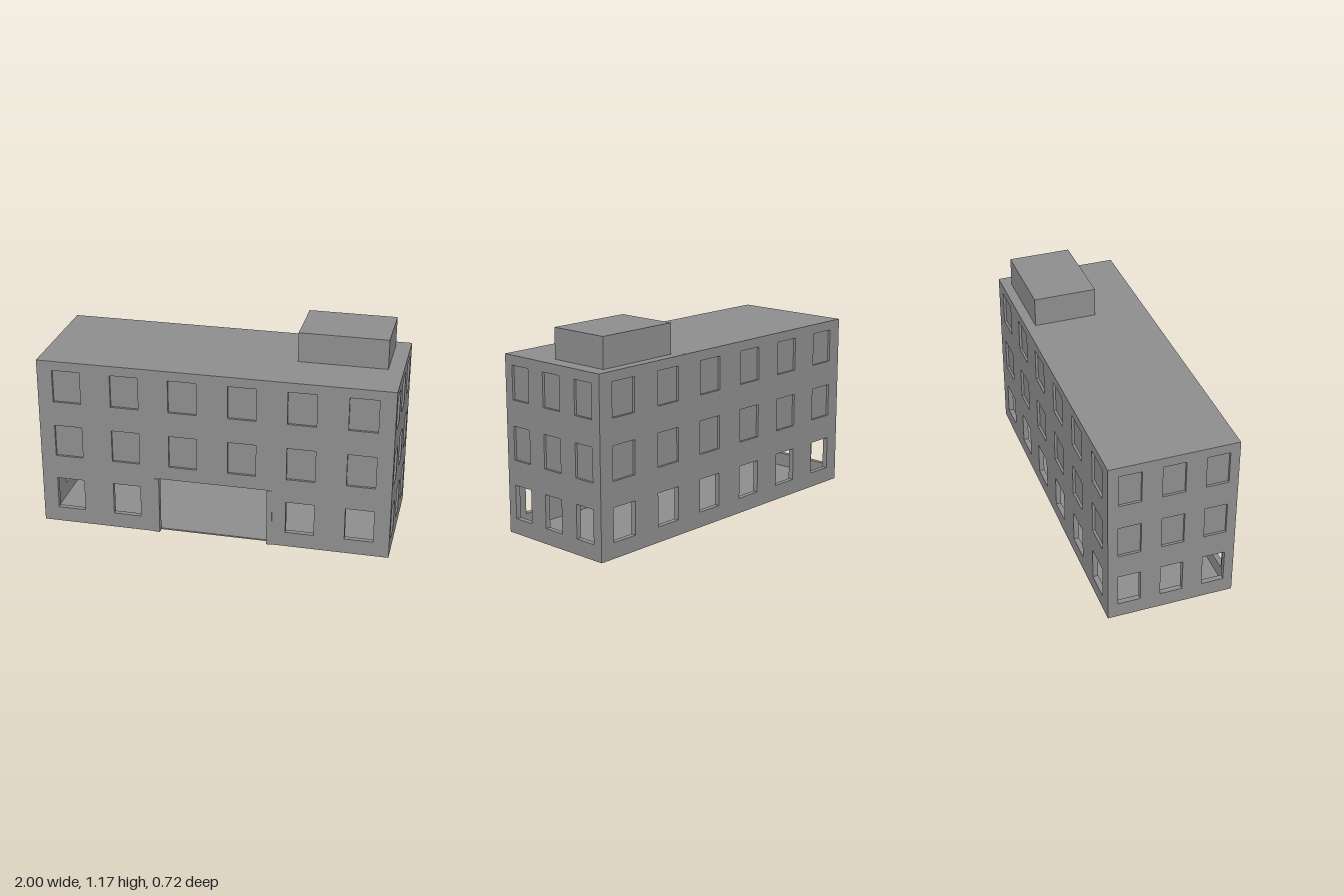
import * as THREE from 'three';

const W = 2, H = 1, ZF = 0.357, ZB = -0.36, T = 0.03, RECESS = 0.014, CEILING = 0.34;
const D = ZF - ZB, ZC = (ZF + ZB) / 2;
const ROWS = [[0.088, 0.278], [0.42, 0.61], [0.755, 0.945]];
const LONG_COLS = [-0.833, -0.5, -0.17, 0.165, 0.497, 0.83];
const SIDE_COLS = [-0.24, 0, 0.24];

const concrete = new THREE.MeshStandardMaterial({ color: 0x8e8e8e });
concrete.name = 'concreteGrey';

function add(group, name, geometry, x = 0, y = 0, z = 0) {
  const mesh = new THREE.Mesh(geometry, concrete);
  mesh.name = name;
  mesh.position.set(x, y, z);
  group.add(mesh);
  return mesh;
}

// Wall slab in the xy plane with window holes; its outer face is at z = T
function wallGeometry(width, columns, windowWidth, doorHalf = 0) {
  const h = width / 2, s = new THREE.Shape();
  s.moveTo(-h, 0);
  if (doorHalf) {
    s.lineTo(-doorHalf, 0);
    s.lineTo(-doorHalf, CEILING);
    s.lineTo(doorHalf, CEILING);
    s.lineTo(doorHalf, 0);
  }
  s.lineTo(h, 0);
  s.lineTo(h, H);
  s.lineTo(-h, H);
  s.closePath();
  ROWS.forEach(([y0, y1], row) => {
    for (const c of columns) {
      if (doorHalf && row === 0 && Math.abs(c) < doorHalf) continue;
      const a = c - windowWidth / 2, b = c + windowWidth / 2;
      const hole = new THREE.Path();
      hole.moveTo(a, y0);
      hole.lineTo(a, y1);
      hole.lineTo(b, y1);
      hole.lineTo(b, y0);
      hole.closePath();
      s.holes.push(hole);
    }
  });
  return new THREE.ExtrudeGeometry(s, { depth: T, bevelEnabled: false });
}

export function createModel() {
  const model = new THREE.Group();
  model.name = 'building';

  // Outer walls
  add(model, 'frontWall', wallGeometry(W, LONG_COLS, 0.16, 0.31), 0, 0, ZF - T);
  const back = add(model, 'backWall', wallGeometry(W, LONG_COLS.map(c => -c), 0.16), 0, 0, ZB + T);
  back.rotation.y = Math.PI;
  for (const side of [-1, 1]) {
    const cols = SIDE_COLS.map(c => -side * (c - ZC));
    const wall = add(model, side > 0 ? 'leftWall' : 'rightWall',
      wallGeometry(D - 2 * T, cols, 0.127), side * (W / 2 - T), 0, ZC);
    wall.rotation.y = side * Math.PI / 2;
  }

  // Upper storeys: closes the upper windows, the roof and the ground floor ceiling
  add(model, 'upperStoreys',
    new THREE.BoxGeometry(W - 2 * RECESS, H - CEILING, D - 2 * RECESS), 0, (H + CEILING) / 2, ZC);

  // Ground floor slab
  add(model, 'groundFloor', new THREE.BoxGeometry(W - 2 * T, 0.008, D - 2 * T), 0, 0.004, ZC);

  // Entrance jambs
  for (const side of [-1, 1]) {
    add(model, 'entranceJamb', new THREE.BoxGeometry(0.03, CEILING, T + 0.004),
      side * 0.325, CEILING / 2, ZF + 0.004 - (T + 0.004) / 2);
  }

  // Rooftop plant room
  add(model, 'roofRoom', new THREE.BoxGeometry(0.5, 0.17, 0.36), 0.665, H + 0.085, -0.124);

  return model;
}
